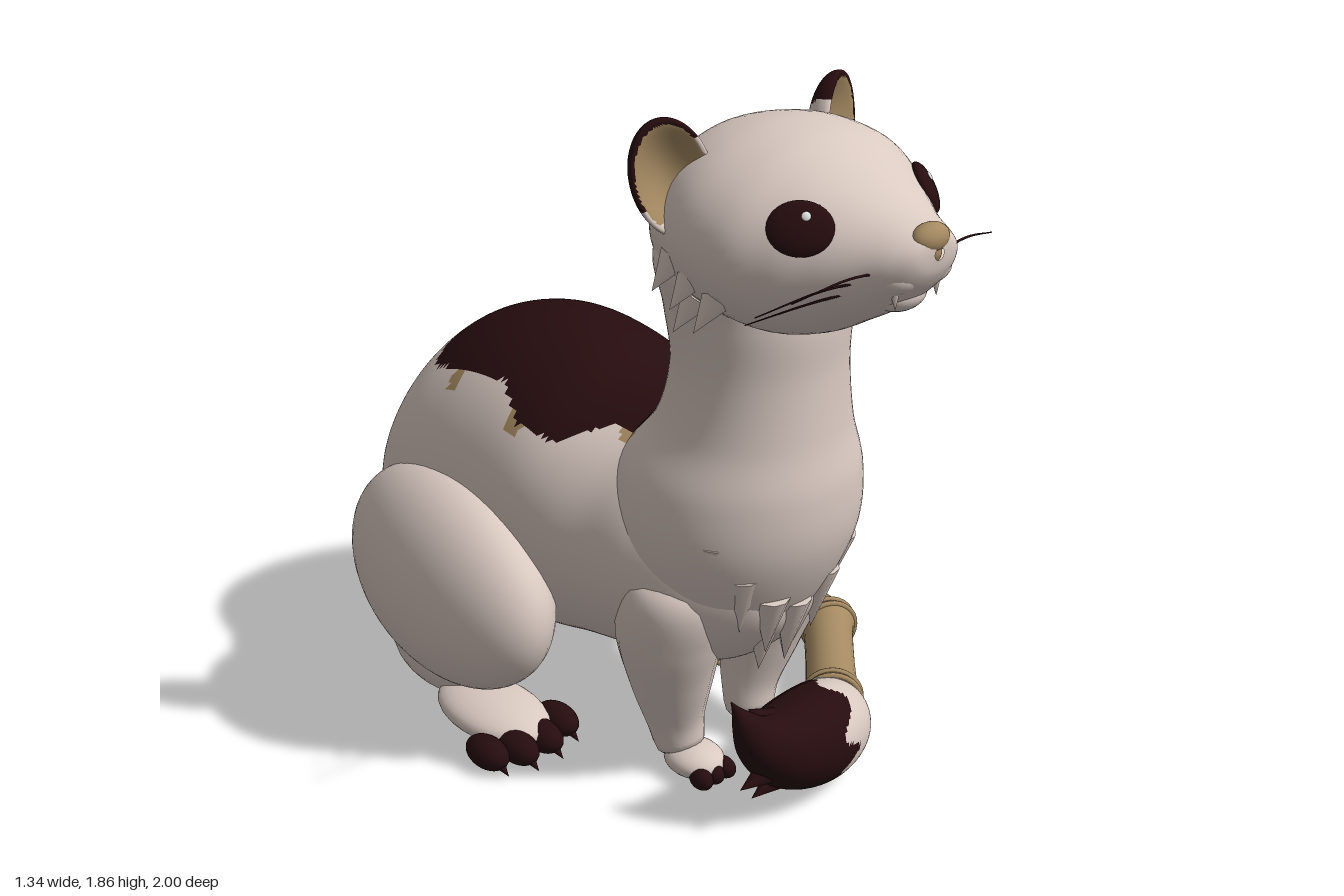
import * as THREE from 'three';

const mat = (name, color) => Object.assign(new THREE.MeshStandardMaterial({ color }), { name });
const V = (x, y, z) => new THREE.Vector3(x, y, z);
const CX = -0.08; // the body sits a little off centre because the tail curls round one side

// Catmull-Rom through rows of numbers, t in 0..1
function sample(rows, t) {
  const n = rows.length - 1, i = Math.min(Math.floor(t * n), n - 1), f = t * n - i;
  const r = k => rows[Math.max(0, Math.min(n, k))];
  return rows[0].map((_, c) => {
    const [a, b, d, e] = [r(i - 1)[c], r(i)[c], r(i + 1)[c], r(i + 2)[c]];
    return b + 0.5 * f * (d - a + f * (2 * a - 5 * b + 4 * d - e + f * (3 * (b - d) + e - a)));
  });
}

// Smooth closed-round surface from fn(u, angle); faces are turned outwards
function surface(fn, nu, nv) {
  const pos = [], idx = [];
  for (let i = 0; i <= nu; i++)
    for (let j = 0; j < nv; j++) pos.push(...fn(i / nu, j / nv * Math.PI * 2).toArray());
  for (let i = 0; i < nu; i++)
    for (let j = 0; j < nv; j++) {
      const a = i * nv + j, b = i * nv + (j + 1) % nv;
      idx.push(a, b, a + nv, b, b + nv, a + nv);
    }
  const p = k => V().fromArray(pos, k * 3);
  let vol = 0;
  for (let k = 0; k < idx.length; k += 3) vol += p(idx[k]).dot(p(idx[k + 1]).cross(p(idx[k + 2])));
  if (vol < 0) idx.reverse();
  const g = new THREE.BufferGeometry();
  g.setAttribute('position', new THREE.Float32BufferAttribute(pos, 3));
  g.setIndex(idx);
  g.computeVertexNormals();
  return g;
}

// Round sweep along points [x, y, z, radius]
function sweep(rows, nu = 30, nv = 20) {
  const curve = new THREE.CatmullRomCurve3(rows.map(r => V(r[0], r[1], r[2])));
  const fr = curve.computeFrenetFrames(nu, false);
  return surface((u, a) => {
    const k = Math.round(u * nu), t = curve.getUtoTmapping(u), r = Math.max(0.001, sample(rows, t)[3]);
    return curve.getPoint(t).addScaledVector(fr.normals[k], r * Math.cos(a)).addScaledVector(fr.binormals[k], r * Math.sin(a));
  }, nu, nv);
}

// Sort the triangles into material groups by a rule on their centres
function paint(g, rule) {
  const src = g.index.array, p = g.attributes.position, sets = [[], [], []];
  for (let k = 0; k < src.length; k += 3) {
    const c = V();
    for (let j = 0; j < 3; j++) c.add(V().fromBufferAttribute(p, src[k + j]));
    sets[rule(c.divideScalar(3))].push(src[k], src[k + 1], src[k + 2]);
  }
  g.setIndex(sets.flat());
  let start = 0;
  sets.forEach((s, i) => { g.addGroup(start, s.length, i); start += s.length; });
  return g;
}

// Outline of the dark saddle, seen from above (world x, z)
const saddle = [[-.15, -.88], [0, -.88], [.03, -.71], [.07, -.69], [.02, -.64], [.03, -.6], [.17, -.62], [.2, -.53], [.24, -.48],
  [.2, -.32], [.23, -.24], [.16, -.13], [.16, 0], [.13, .1], [.12, .23], [.06, .34], [-.22, .34], [-.24, .22], [-.26, .11],
  [-.37, 0], [-.39, -.13], [-.34, -.24], [-.35, -.4], [-.33, -.56], [-.26, -.6], [-.2, -.6], [-.23, -.69], [-.29, -.72], [-.2, -.78]];
const flecks = [[.15, -.61, .03], [-.365, -.42, .022], [-.38, -.14, .03], [-.25, .16, .03], [.14, .24, .025], [.27, -.39, .03]];
function coat(p) {
  const x = p.x + CX, z = p.z;
  if (p.y < (z < -0.6 ? 0.56 : 0.72) || p.y > 1.09 && z > 0.1) return 0;
  if (Math.hypot(x - .25, z + .51) < .025) return 1;
  let inside = false;
  saddle.forEach(([ax, az], i) => {
    const [bx, bz] = saddle[(i + 1) % saddle.length];
    if ((az > z) !== (bz > z) && x < (bx - ax) * (z - az) / (bz - az) + ax) inside = !inside;
  });
  if (inside) return 1;
  return flecks.some(f => Math.hypot(x - f[0], z - f[1]) < f[2]) ? 2 : 0;
}

export function createModel() {
  const cream = mat('creamFur', 0xd9c9c1), dark = mat('darkFur', 0x260c0e), tan = mat('tan', 0xa58a62), white = mat('white', 0xffffff);
  const coats = [cream, dark, tan];
  const model = new THREE.Group(), body = new THREE.Group();
  body.name = 'body';
  body.position.x = CX;
  model.add(body);
  const add = (name, g, m, parent = body) => {
    const mesh = new THREE.Mesh(g, m);
    mesh.name = name;
    parent.add(mesh);
    return mesh;
  };
  const ball = (name, c, s, m, parent) => {
    const mesh = add(name, new THREE.SphereGeometry(1, 24, 16), m, parent);
    mesh.position.set(...c);
    mesh.scale.set(...s);
    return mesh;
  };
  const up = V(0, 1, 0);
  const spike = (name, from, dir, len, r, m, parent) => {
    const d = V(...dir).normalize();
    const mesh = add(name, new THREE.ConeGeometry(r, len, 10), m, parent);
    mesh.position.set(...from).addScaledVector(d, len / 2);
    mesh.quaternion.setFromUnitVectors(up, d);
  };

  // Torso: rows of z, top, bottom, half width
  const torso = [[-.885, .46, .42, .02], [-.86, .56, .32, .16], [-.8, .74, .24, .27], [-.7, .91, .18, .345], [-.58, 1.02, .16, .38],
    [-.43, 1.085, .17, .39], [-.28, 1.105, .19, .39], [-.12, 1.08, .22, .39], [.03, 1.02, .26, .38], [.16, .995, .28, .355],
    [.3, .98, .31, .335], [.45, .93, .36, .28], [.58, .8, .5, .16], [.6, .68, .64, .02]];
  add('torso', paint(surface((u, a) => {
    const [z, t, b, w] = sample(torso, u);
    return V(w * Math.cos(a), (t + b) / 2 + (t - b) / 2 * Math.sin(a), z);
  }, 130, 130), coat), coats);

  // Chest and neck: rows of y, front z, back z, half width
  const neck = [[.33, .4, .32, .02], [.37, .44, .24, .1], [.46, .53, .14, .2], [.6, .625, .08, .28], [.75, .685, .06, .32], [.9, .695, .08, .31],
    [1.04, .672, .19, .255], [1.2, .66, .235, .232], [1.35, .662, .218, .245], [1.5, .63, .22, .28], [1.62, .56, .27, .2]];
  add('neck', paint(surface((u, a) => {
    const [y, f, b, w] = sample(neck, u);
    return V(w * Math.cos(a), y, (f + b) / 2 + (f - b) / 2 * Math.sin(a));
  }, 90, 80), coat), coats);

  // Chest fur tufts
  for (const [x, y, z, l] of [[0, .58, .58, .2], [-.09, .62, .59, .18], [.09, .64, .59, .19], [-.17, .7, .57, .18], [.17, .7, .57, .18],
    [-.05, .52, .53, .17], [.06, .5, .52, .16], [.23, .8, .53, .16], [-.23, .8, .53, .16]])
    spike('chestTuft', [x, y, z], [-x * 0.4, -1, -0.12], l, 0.05, cream);

  // Head: rows of z, top, bottom, half width
  const head = [[.2, 1.55, 1.5, .03], [.245, 1.67, 1.4, .17], [.33, 1.775, 1.36, .255], [.48, 1.825, 1.34, .325], [.62, 1.825, 1.33, .325],
    [.72, 1.795, 1.355, .275], [.8, 1.745, 1.4, .215], [.88, 1.7, 1.45, .155], [.95, 1.67, 1.51, .11], [.985, 1.655, 1.56, .07], [.995, 1.63, 1.6, .015]];
  const headPoint = (u, a) => {
    const [z, t, b, w] = sample(head, u);
    return V(w * Math.cos(a), (t + b) / 2 + (t - b) / 2 * Math.sin(a), z);
  };
  add('head', surface(headPoint, 70, 60), cream);
  ball('chin', [0, 1.495, .88], [.075, .045, .06], cream);
  ball('nose', [0, 1.645, .965], [.055, .036, .035], tan);
  ball('noseBase', [0, 1.615, .967], [.025, .03, .028], tan);

  for (const s of [1, -1]) {
    // Eyes lie on the head surface and face along its normal
    const u = 0.56, a = s > 0 ? 0.5 : Math.PI - 0.5, p = headPoint(u, a);
    const n = headPoint(u + .01, a).sub(p).cross(headPoint(u, a + .01).sub(p)).normalize();
    if (n.x * s < 0) n.negate();
    const eye = new THREE.Group();
    eye.name = 'eye';
    eye.position.copy(p);
    eye.lookAt(p.clone().add(n));
    body.add(eye);
    ball('eyeball', [0, 0, 0], [.077, .064, .024], dark, eye);
    ball('eyeHighlight', [s * -.012, .025, .021], [.011, .011, .005], white, eye);

    // Muzzle, mouth, teeth, whiskers and cheek fur
    ball('muzzle', [s * .05, 1.56, .908], [.068, .05, .065], cream);
    add('mouth', sweep([[0, 1.565, .977, .004], [s * .03, 1.528, .958, .004], [s * .075, 1.515, .925, .004], [s * .12, 1.535, .88, .003]], 12, 6), dark);
    spike('fang', [s * .07, 1.525, .93], [0, -1, .1], .045, .012, cream);
    [[.34, 1.55, .87], [.33, 1.48, .75], [.29, 1.43, .68]].forEach(([x, y, z], i) =>
      add('whisker', sweep([[s * .09, 1.57 - i * .015, .91, .003], [s * .2, 1.58 - i * .04, (z + .9) / 2 + .02, .003], [s * x, y, z, .0015]], 12, 5), dark));
    for (const [x, y, z] of [[.28, 1.5, .5], [.27, 1.46, .57], [.25, 1.43, .48], [.28, 1.53, .44]])
      spike('cheekTuft', [s * x, y, z], [s * .5, -.8, -.25], .1, .04, cream);

    // Ear: a sphere with its front pushed in to a cup
    const g = new THREE.SphereGeometry(1, 48, 36), q = g.attributes.position;
    paint(g, c => c.z > 0.45 && c.y > -0.65 ? 2 : c.y + s * c.x * 0.5 > 0.1 ? 1 : 0);
    for (let i = 0; i < q.count; i++) if (q.getZ(i) > 0) q.setZ(i, q.getZ(i) * (1 - 1.5 * q.getZ(i)));
    g.computeVertexNormals();
    const ear = add('ear', g, coats);
    ear.position.set(s * .278, 1.715, .425);
    ear.scale.set(.1, .145, .07);
    ear.rotation.set(-.1, s * .4, s * -.22);

    // Foreleg with paw
    add('foreleg', sweep([[s * .2, .7, .38, .02], [s * .2, .62, .37, .13], [s * .19, .47, .33, .145], [s * .165, .3, .305, .115],
      [s * .14, .15, .295, .08], [s * .13, .06, .31, .062], [s * .13, .03, .33, .01]]), cream);
    ball('forepaw', [s * .13, .045, .36], [.075, .045, .09], cream);
    for (let i = -1; i <= 1; i++) ball('foretoe', [s * .13 + i * .042, .03, .43], [.026, .03, .038], s < 0 ? dark : tan);

    // Hind leg with foot and toes
    const thigh = ball('thigh', [s * .39, .42, -.34], [.19, .295, .43], cream);
    thigh.geometry = new THREE.SphereGeometry(1, 48, 32);
    thigh.rotation.set(0, s * .1, s * .08);
    ball('hock', [s * .34, .15, -.42], [.13, .14, .22], cream);
    ball('hindFoot', [s * .39, .06, -.17], [.12, .055, .2], cream);
    [.275, .36, .445, .52].forEach((x, i) => {
      const z = i % 3 ? 0 : -.035;
      ball('hindToe', [s * x, .044, z], [.046, .044, .075], s < 0 ? dark : tan);
      spike('claw', [s * x, .03, z + .055], [s * .15, -.3, 1], .045, .014, s < 0 ? dark : tan);
    });
  }

  // Jointed cane tail curling round the left side
  const tail = new THREE.Group();
  tail.name = 'tail';
  model.add(tail);
  const joints = [[-.1, .36, -.85], [.08, .16, -.91], [.36, .09, -.74], [.59, .085, -.19], [.51, .085, .17], [.23, .085, .45]].map(j => V(...j));
  joints.slice(1).forEach((e, i) => {
    const p = joints[i], d = e.clone().sub(p).normalize(), r0 = i ? .078 : .1;
    add('tailSegment', sweep([0, .12, .5, .88, 1].map((t, k) =>
      [...p.clone().lerp(e, t).toArray(), [r0, r0 - .006, .07, .073, .08][k]]), 24, 24), tan, tail);
    ball('tailJoint', e.toArray(), [.079, .079, .079], tan, tail);
    const next = joints[i + 2] ? joints[i + 2].clone().sub(e).normalize() : d;
    const dir = d.clone().add(next).normalize();
    for (const o of [-.012, .014]) {
      const ring = add('tailRing', new THREE.TorusGeometry(.078, .009, 8, 28), tan, tail);
      ring.position.copy(e).addScaledVector(dir, o);
      ring.lookAt(ring.position.clone().add(dir));
    }
  });

  // Brush at the tail tip, with a ragged dark end
  const brush = sweep([[.24, .085, .44, .05], [.18, .09, .49, .085], [.08, .125, .565, .122], [-.04, .155, .61, .13], [-.16, .195, .635, .112],
    [-.26, .26, .65, .07], [-.31, .33, .645, .035], [-.345, .4, .63, .002]], 70, 60);
  add('tailBrush', paint(brush, c => c.x < .02 + .035 * Math.sin(c.y * 55) + .02 * Math.sin(c.z * 40) ? 1 : 0), coats, tail);
  for (const [x, y, z, dx, dy] of [[-.2, .17, .66, -1, -.15], [-.2, .2, .68, -1, .5], [-.17, .25, .62, -1, .9], [-.14, .12, .64, -1, -.25]])
    spike('brushTuft', [x, y, z], [dx, dy, 0], .14, .05, dark, tail);

  return model;
}
